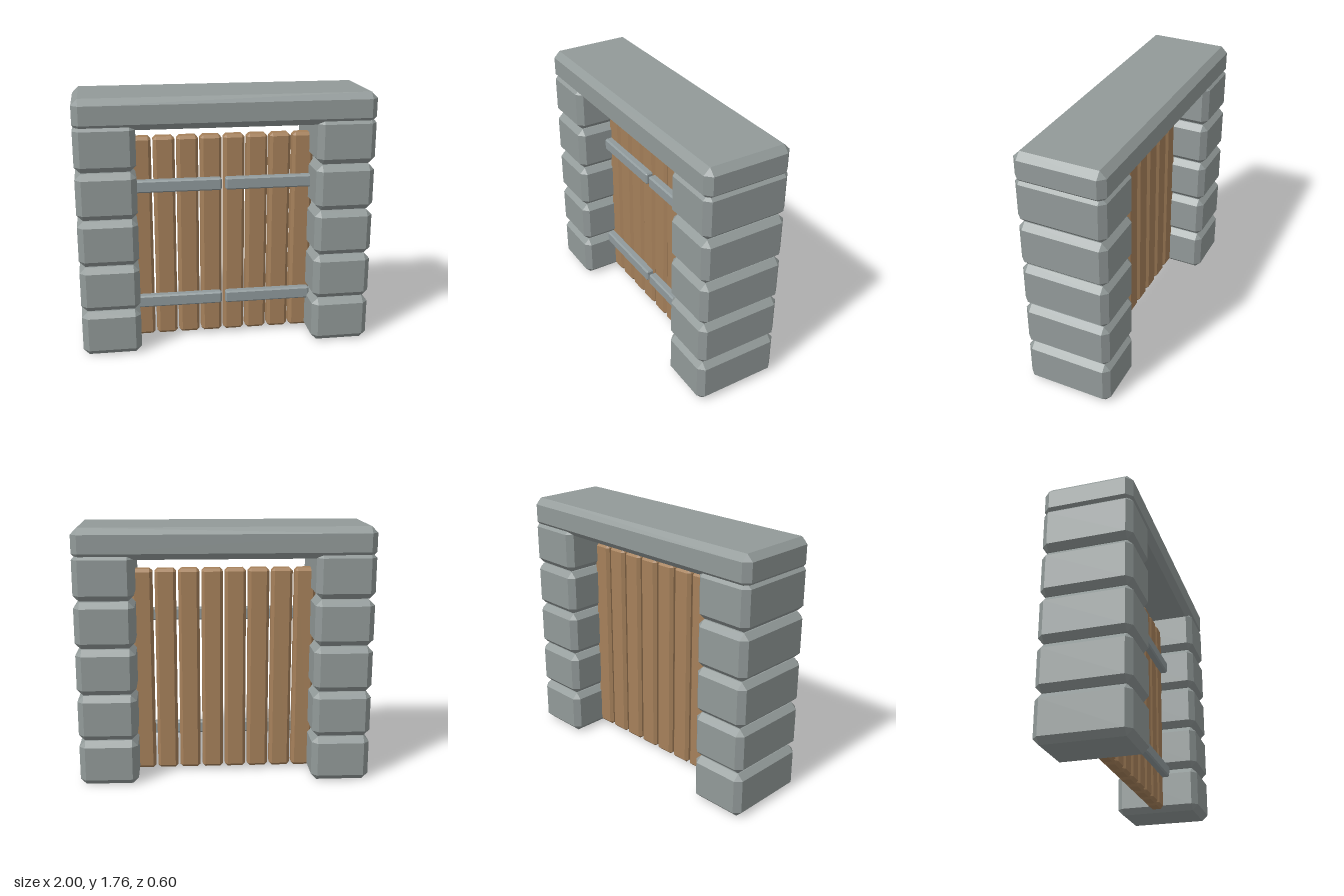
import * as THREE from 'three';
import { ConvexGeometry } from 'three/addons/geometries/ConvexGeometry.js';

// Box with every edge and corner cut off by b
function chamferedBox(w, h, d, b) {
  const pts = [];
  for (const x of [-w / 2, w / 2]) for (const y of [-h / 2, h / 2]) for (const z of [-d / 2, d / 2]) {
    const s = [Math.sign(x) * b, Math.sign(y) * b, Math.sign(z) * b];
    pts.push(
      new THREE.Vector3(x, y - s[1], z - s[2]),
      new THREE.Vector3(x - s[0], y, z - s[2]),
      new THREE.Vector3(x - s[0], y - s[1], z),
    );
  }
  return new ConvexGeometry(pts);
}

export function createModel() {
  const make = (name, color) => {
    const m = new THREE.MeshStandardMaterial({ color });
    m.name = name;
    return m;
  };
  const stone = make('stone', 0x929a99);
  const wood = make('wood', 0xa5805a);
  const iron = make('iron', 0x909a9c);

  const model = new THREE.Group();
  model.name = 'stoneGate';
  const add = (parent, name, geometry, material, x, y, z) => {
    const mesh = new THREE.Mesh(geometry, material);
    mesh.name = name;
    mesh.position.set(x, y, z);
    parent.add(mesh);
  };

  // Pillars of five stacked blocks
  const block = chamferedBox(0.4, 0.315, 0.6, 0.04);
  for (const side of [-1, 1]) {
    const pillar = new THREE.Group();
    pillar.name = side > 0 ? 'leftPillar' : 'rightPillar';
    for (let i = 0; i < 5; i++) add(pillar, 'pillarBlock', block, stone, side * 0.8, 0.158 + i * 0.321, 0);
    model.add(pillar);
  }

  // Lintel across the top
  add(model, 'lintel', chamferedBox(2, 0.21, 0.6, 0.043), stone, 0, 1.66, 0);

  // Two door leaves: four planks and two straps each
  const plank = chamferedBox(0.145, 1.44, 0.1, 0.02);
  const strap = chamferedBox(0.607, 0.085, 0.06, 0.01);
  for (const side of [-1, 1]) {
    const leaf = new THREE.Group();
    leaf.name = side > 0 ? 'leftDoor' : 'rightDoor';
    for (let i = 0; i < 4; i++) add(leaf, 'plank', plank, wood, side * (0.08 + i * 0.16) - 0.002, 0.74, 0);
    for (const y of [0.294, 1.13]) add(leaf, 'strap', strap, iron, side * 0.317 - 0.002, y, 0.07);
    model.add(leaf);
  }
  return model;
}
